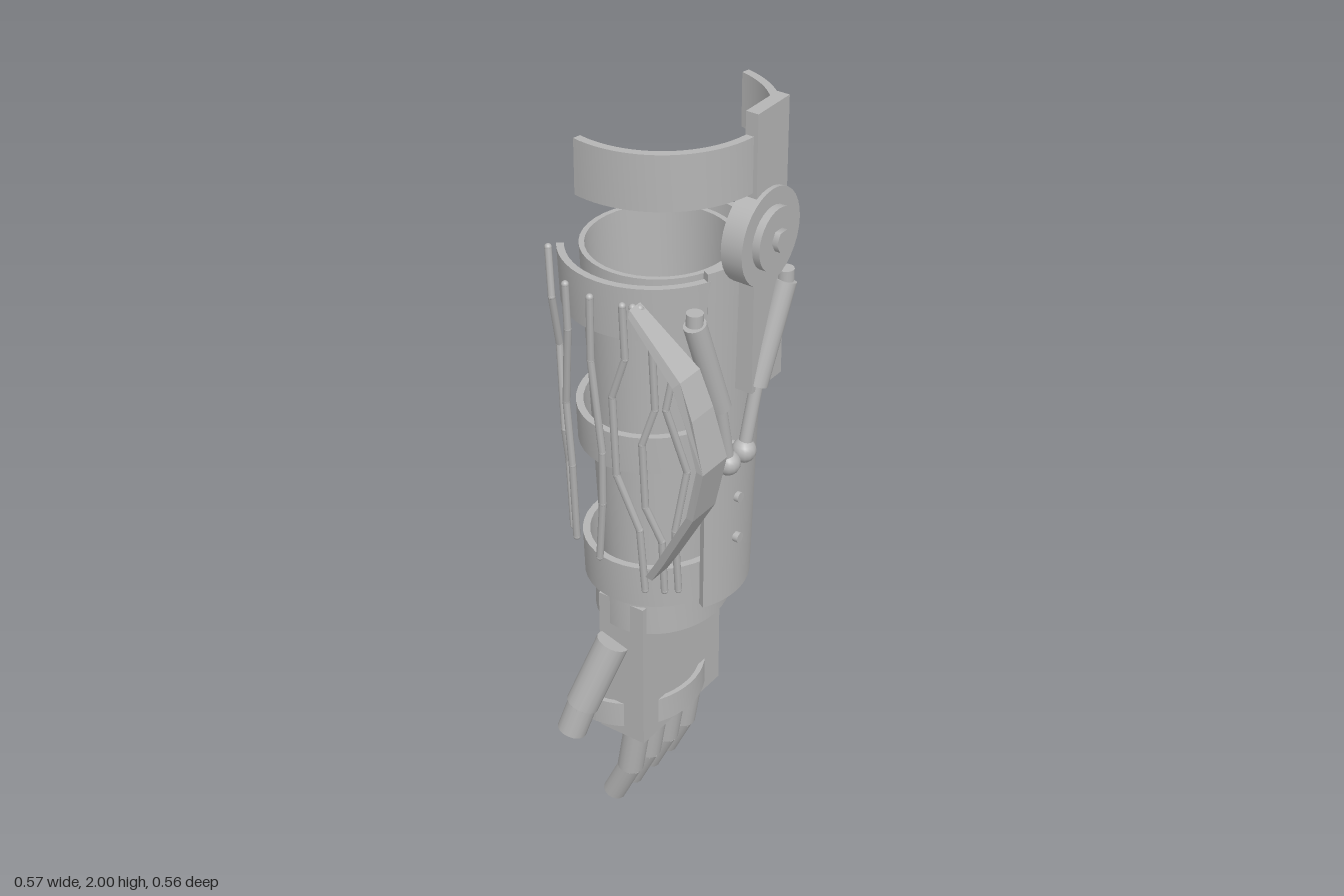
import * as THREE from 'three';
import { toCreasedNormals } from 'three/addons/utils/BufferGeometryUtils.js';

const V = (x, y, z) => new THREE.Vector3(x, y, z);
const metal = new THREE.MeshStandardMaterial({ color: 0xb4b4b4 });
metal.name = 'grey metal';

// Curved wall between two elliptical sections {y, cx, cz, rx, rz}; angles in degrees, 0 = +x, 90 = front.
function arcWall(bottom, top, thick, a0 = 0, a1 = 360, n = 40) {
  const loops = [], pos = [];
  const at = (e, a, inset) => [e.cx + (e.rx - inset) * Math.cos(a), e.y, e.cz + (e.rz - inset) * Math.sin(a)];
  for (let i = 0; i <= n; i++) {
    const a = THREE.MathUtils.degToRad(a0 + (a1 - a0) * i / n);
    loops.push([at(bottom, a, 0), at(top, a, 0), at(top, a, thick), at(bottom, a, thick)]);
  }
  const quad = (a, b, c, d) => pos.push(...a, ...b, ...c, ...a, ...c, ...d);
  for (let i = 0; i < n; i++) {
    const A = loops[i], B = loops[i + 1];
    for (let k = 0; k < 4; k++) quad(A[k], A[(k + 1) % 4], B[(k + 1) % 4], B[k]);
  }
  if (a1 - a0 < 360) {
    const s = loops[0], e = loops[n];
    quad(s[0], s[3], s[2], s[1]);
    quad(e[0], e[1], e[2], e[3]);
  }
  const g = new THREE.BufferGeometry();
  g.setAttribute('position', new THREE.Float32BufferAttribute(pos, 3));
  return toCreasedNormals(g, 0.6);
}
const ring = (y, cx, cz, rx, rz) => ({ y, cx, cz, rx, rz });

export function createModel() {
  const model = new THREE.Group();
  model.name = 'mechanicalForearm';
  const add = (name, geo, parent = model) => {
    const m = new THREE.Mesh(geo, metal);
    m.name = name;
    parent.add(m);
    return m;
  };
  const group = (name) => {
    const g = new THREE.Group();
    g.name = name;
    model.add(g);
    return g;
  };
  const box = (name, x0, x1, y0, y1, z0, z1) =>
    add(name, new THREE.BoxGeometry(x1 - x0, y1 - y0, z1 - z0)).position.set((x0 + x1) / 2, (y0 + y1) / 2, (z0 + z1) / 2);
  // Cylinder between two points
  const rod = (name, a, b, r0, r1 = r0, parent = model, sides = 16) => {
    const m = add(name, new THREE.CylinderGeometry(r1, r0, a.distanceTo(b), sides), parent);
    m.position.lerpVectors(a, b, 0.5);
    m.quaternion.setFromUnitVectors(V(0, 1, 0), b.clone().sub(a).normalize());
    return m;
  };
  const ball = (name, p, r, parent = model) => add(name, new THREE.SphereGeometry(r, 14, 10), parent).position.copy(p);

  // Tapered sleeve, bands and wrist
  add('sleeve', arcWall(ring(0.69, -0.045, -0.027, 0.14, 0.165), ring(1.6, -0.056, -0.03, 0.184, 0.188), 0.013));
  add('topBand', arcWall(ring(1.475, -0.05, -0.022, 0.224, 0.24), ring(1.61, -0.05, -0.022, 0.23, 0.246), 0.018, -115, 141));
  add('middleBand', arcWall(ring(1.105, -0.045, -0.022, 0.19, 0.218), ring(1.205, -0.045, -0.022, 0.193, 0.222), 0.018));
  add('lowerBand', arcWall(ring(0.705, -0.05, -0.02, 0.183, 0.193), ring(0.82, -0.05, -0.02, 0.185, 0.198), 0.018));
  add('wristRing', arcWall(ring(0.61, -0.046, -0.027, 0.157, 0.187), ring(0.705, -0.046, -0.027, 0.157, 0.187), 0.022));

  // Side plate with screws
  add('sidePlate', arcWall(ring(0.695, -0.05, -0.035, 0.215, 0.21), ring(1.63, -0.05, -0.035, 0.236, 0.25), 0.02, -29, 29, 14));
  for (const y of [0.985, 0.868]) rod('plateScrew', V(0.15, y, -0.024), V(0.182, y, -0.024), 0.013);

  // Rail along the back left, following the taper
  const railTop = V(-0.178, 1.63, -0.245), railLow = V(-0.155, 0.7, -0.212);
  const up = railTop.clone().sub(railLow).normalize();
  const side = V(0.82, 0, -0.57).normalize();
  const rail = add('backRail', new THREE.BoxGeometry(0.08, railTop.distanceTo(railLow), 0.026));
  rail.quaternion.setFromRotationMatrix(new THREE.Matrix4().makeBasis(side, up, side.clone().cross(up)));
  rail.position.lerpVectors(railTop, railLow, 0.5);

  // Elbow hinge, its bars and the upper arm cuff
  box('upperBar', 0.192, 0.224, 1.6, 2.0, -0.122, 0);
  box('lowerBar', 0.17, 0.222, 1.3, 1.62, -0.122, 0);
  rod('hingeDisc', V(0.18, 1.69, -0.045), V(0.235, 1.69, -0.045), 0.117, 0.117, model, 32);
  rod('hingeCap', V(0.23, 1.69, -0.045), V(0.254, 1.69, -0.045), 0.076, 0.076, model, 28);
  rod('hingeBolt', V(0.25, 1.69, -0.045), V(0.268, 1.69, -0.045), 0.027, 0.027, model, 6);
  add('upperArmCuff', arcWall(ring(1.81, -0.045, -0.027, 0.26, 0.26), ring(1.945, -0.045, -0.027, 0.26, 0.26), 0.02, -77, 102));

  // Two pistons meeting low on the side plate
  for (const [a, b, c] of [
    [V(0.18, 1.55, 0.17), V(0.202, 1.31, 0.1), V(0.207, 1.145, 0.07)],
    [V(0.232, 1.55, -0.115), V(0.215, 1.31, -0.03), V(0.207, 1.145, 0.005)],
  ]) {
    const piston = group('piston');
    rod('pistonBarrel', b, a, 0.027, 0.027, piston);
    rod('pistonRod', c, b, 0.016, 0.016, piston);
    rod('pistonTopPin', a, a.clone().add(V(0, 0.03, 0)), 0.02, 0.02, piston);
    ball('pistonJoint', c, 0.03, piston);
    rod('pistonPivot', c, V(0.155, c.y, c.z), 0.014, 0.014, piston);
  }

  // Thin cables standing off the sleeve: [x, y] points, z follows the round front
  const cablePoint = ([x, y]) => {
    const r = 0.217 + (y - 0.78) * 0.056, dx = x + 0.05;
    return V(x, y, -0.028 + Math.sqrt(Math.max(0, r * r - dx * dx)));
  };
  const cables = [
    [[-0.277, 1.57], [-0.262, 1.45], [-0.275, 1.3], [-0.25, 1.08], [-0.254, 0.98], [-0.235, 0.8]],
    [[-0.14, 1.57], [-0.142, 1.45], [-0.175, 1.23], [-0.168, 1.05], [-0.175, 0.83]],
    [[-0.06, 1.57], [-0.068, 1.4], [-0.05, 1.15], [-0.058, 1.0], [-0.078, 0.83]],
    [[0.022, 1.57], [0.022, 1.43], [-0.014, 1.32], [-0.014, 1.1], [0.035, 0.95], [0.04, 0.77]],
    [[0.045, 1.57], [0.08, 1.47], [0.08, 1.3], [0.05, 1.2], [0.05, 1.02], [0.08, 0.92], [0.08, 0.77]],
    [[0.06, 1.57], [0.125, 1.45], [0.1, 1.3], [0.13, 1.12], [0.105, 0.95], [0.105, 0.77]],
  ];
  for (const path of cables) {
    const cable = group('cable');
    const pts = path.map(cablePoint);
    pts.forEach((p, i) => {
      if (i) rod('cableSegment', p, pts[i - 1], 0.009, 0.009, cable, 8);
      ball('cableKink', p, 0.009, cable);
    });
  }

  // Broad bowed strap at the front left: a thin outline extruded, then leaned with height
  const bow = [[0.055, 1.58], [0.215, 1.465], [0.25, 1.38], [0.28, 1.25], [0.24, 1.1], [0.125, 0.9], [0.088, 0.84]];
  const inner = bow.map(([x, y], i) => [x - (i ? 0.018 : 0), y - (i < 3 ? 0.018 : -0.004)]).reverse();
  const bowGeo = new THREE.ExtrudeGeometry(
    new THREE.Shape([...bow, ...inner].map(([x, y]) => new THREE.Vector2(x, y))), { depth: 1, bevelEnabled: false });
  const bp = bowGeo.attributes.position;
  for (let i = 0; i < bp.count; i++) {
    const y = bp.getY(i);
    const back = y > 1.4 ? 0.2 : 0.2 - (1.4 - y) * 0.1;
    const front = y > 1.45 ? 0.28 - (y - 1.45) * 0.3 : y > 1.2 ? 0.28 : 0.28 - (1.2 - y) * 0.2;
    bp.setZ(i, bp.getZ(i) > 0.5 ? front : back);
  }
  bowGeo.computeVertexNormals();
  add('bowedStrap', bowGeo);

  // Palm, hand strap and round palm plate
  box('palm', -0.109, 0.023, 0.273, 0.69, -0.177, 0.156);
  add('knuckleStrap', arcWall(ring(0.3, -0.12, -0.01, 0.17, 0.19), ring(0.372, -0.12, -0.01, 0.17, 0.19), 0.013, -90, 90, 24));
  box('palmStrap', -0.122, -0.108, 0.3, 0.372, -0.2, 0.18);
  const rim = [[0, 0.03], [0.085, 0.03], [0.09, 0.043], [0.117, 0.043], [0.117, 0]].map(([r, y]) => new THREE.Vector2(r, y)).reverse();
  const disc = add('palmDisc', toCreasedNormals(new THREE.LatheGeometry(rim, 32), 0.5));
  disc.rotation.z = Math.PI / 2;
  disc.position.set(-0.11, 0.465, -0.012);

  // Four fingers and the thumb, each of two segments
  const digit = (name, a, b, c, r) => {
    const g = group(name);
    rod(name + 'Base', b, a, r, r, g);
    rod(name + 'Tip', c, b, r * 0.9, r * 0.9, g);
    ball(name + 'Joint', b, r * 0.9, g);
  };
  for (const z of [0.1, 0.024, -0.055, -0.132])
    digit('finger', V(-0.033, 0.29, z), V(-0.06, 0.125, z), V(-0.112, 0.015, z), 0.034);
  digit('thumb', V(-0.062, 0.565, 0.165), V(-0.115, 0.385, 0.225), V(-0.135, 0.305, 0.245), 0.042);

  return model;
}
